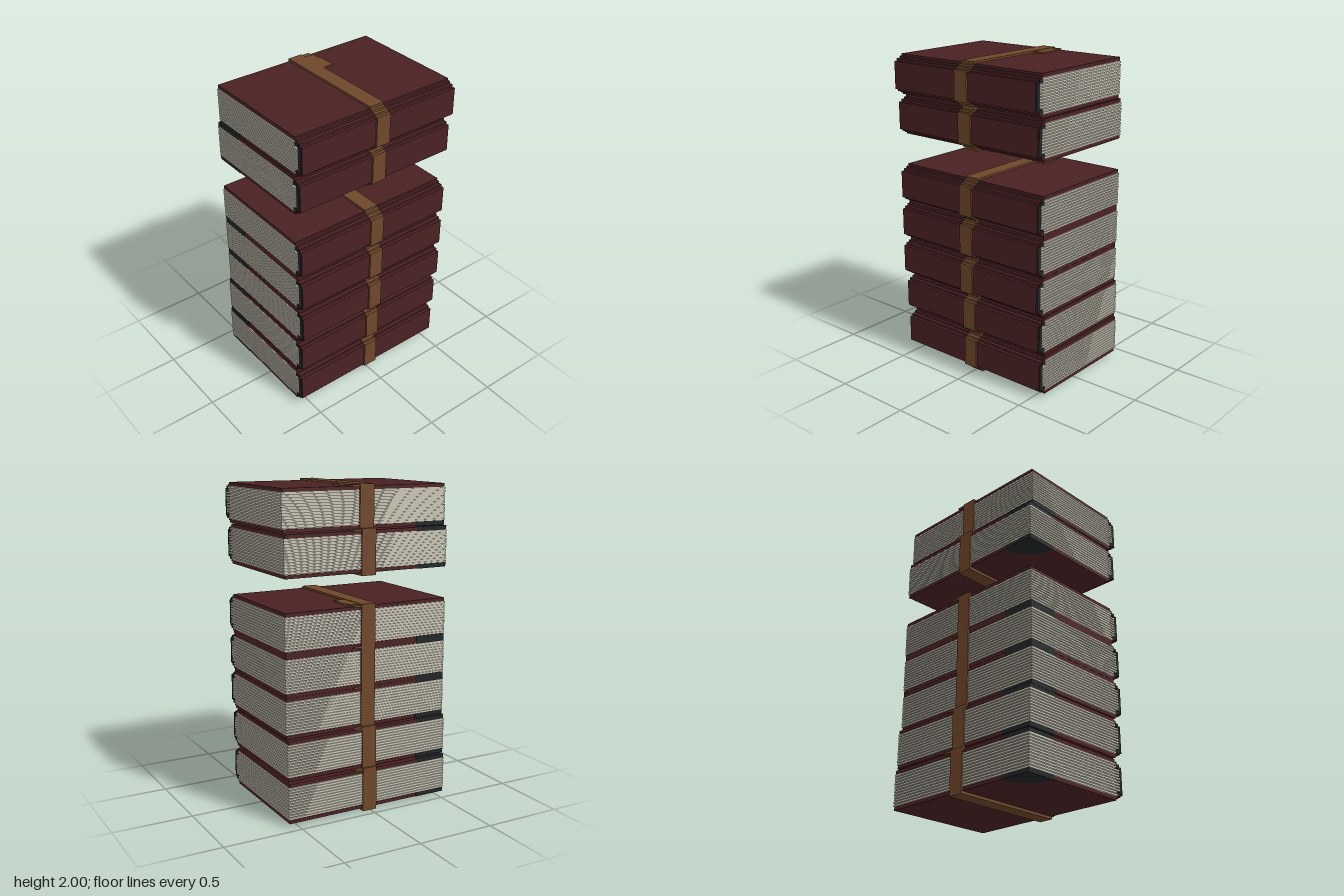
import * as THREE from 'three';

const material = (name, color) => {
  const m = new THREE.MeshStandardMaterial({ color });
  m.name = name;
  return m;
};

export function createModel() {
  const red = material('oxblood cover', 0x4a2123);
  const brown = material('brown leather', 0x6e472a);
  const cream = material('cream paper', 0xcac6b6);
  const black = material('black lining', 0x212526);

  const model = new THREE.Group();
  model.name = 'bookStack';

  // Box given by its limits on each axis
  const box = (parent, name, mat, x0, x1, y0, y1, z0, z1) => {
    const mesh = new THREE.Mesh(new THREE.BoxGeometry(x1 - x0, y1 - y0, z1 - z0), mat);
    mesh.position.set((x0 + x1) / 2, (y0 + y1) / 2, (z0 + z1) / 2);
    mesh.name = name;
    parent.add(mesh);
  };
  // The same box above and below the middle of the book
  const pair = (parent, name, mat, x0, x1, y0, y1, z0, z1) => {
    box(parent, name, mat, x0, x1, y0, y1, z0, z1);
    box(parent, name, mat, x0, x1, -y1, -y0, z0, z1);
  };

  // Quarter-round corner piece
  const quarter = new THREE.Shape();
  quarter.moveTo(0, 0);
  quarter.lineTo(0.205, 0);
  quarter.absarc(0, 0, 0.205, 0, Math.PI / 2, false);
  const cornerGeometry = new THREE.ExtrudeGeometry(quarter, { depth: 0.026, bevelEnabled: false, curveSegments: 5 });
  cornerGeometry.rotateX(-Math.PI / 2);

  const makeBook = (blackTop) => {
    const book = new THREE.Group();
    const Z = 0.55;

    // Boards, stepped hinges and spine
    pair(book, 'coverBoard', red, -0.405, 0.345, 0.103, 0.125, -Z, Z);
    pair(book, 'hinge', red, 0.33, 0.362, 0.09, 0.112, -Z, Z);
    pair(book, 'hinge', red, 0.345, 0.385, 0.075, 0.1, -Z, Z);
    box(book, 'spine', red, 0.37, 0.405, -0.086, 0.086, -Z, Z);

    // Black lining showing at the ends of the spine
    for (const s of [-1, 1]) {
      const a = s * (Z + 0.002) - 0.002, b = s * (Z + 0.002) + 0.002;
      box(book, 'spineLining', black, 0.372, 0.398, -0.08, 0.08, a, b);
      pair(book, 'hingeLining', black, 0.343, 0.378, 0.076, 0.096, a, b);
    }

    // Page block with slightly protruding sheets
    box(book, 'pageBlock', cream, -0.4, 0.34, -0.103, 0.103, -0.551, 0.551);
    const sheets = 12, pitch = 0.206 / sheets;
    for (let i = 0; i < sheets; i++) {
      const y = (i - (sheets - 1) / 2) * pitch;
      const right = Math.abs(y) > 0.075 ? 0.347 : 0.374;
      box(book, 'pages', cream, -0.407, right, y - 0.0055, y + 0.0055, -0.556, 0.556);
    }

    // Black corners on the boards
    for (const y of blackTop ? [-0.127, 0.101] : [-0.127]) {
      const corner = new THREE.Mesh(cornerGeometry, black);
      corner.position.set(-0.407, y, 0.552);
      corner.name = 'cornerPiece';
      book.add(corner);
    }

    // Strap running round the book and over the hinges
    const strap = new THREE.Group();
    strap.name = 'strap';
    const a = -0.052, b = 0.044;
    box(strap, 'strapTop', brown, -0.415, 0.352, 0.12, 0.137, a, b);
    box(strap, 'strapBottom', brown, -0.415, 0.352, -0.142, -0.12, a, b);
    box(strap, 'strapSide', brown, -0.416, -0.4, -0.142, 0.137, a, b);
    pair(strap, 'strapHinge', brown, 0.34, 0.372, 0.095, 0.122, a, b);
    pair(strap, 'strapHinge', brown, 0.36, 0.395, 0.08, 0.108, a, b);
    box(strap, 'strapSpine', brown, 0.39, 0.415, -0.094, 0.094, a, b);

    // Loose strap end lying beside the band
    box(strap, 'strapEnd', brown, -0.325, -0.2, 0.12, 0.134, -0.125, a);
    box(strap, 'strapEnd', brown, -0.375, -0.325, 0.12, 0.134, -0.112, a);
    box(strap, 'strapEnd', brown, -0.414, -0.38, 0.12, 0.132, -0.103, a);
    book.add(strap);
    return book;
  };

  // Sideways shift and centre height of each book
  const stack = [
    [-0.03, 0.142], [-0.02, 0.404], [0, 0.659], [0, 0.91],
    [0, 1.16], [0, 1.607], [0.025, 1.863],
  ];
  stack.forEach(([x, y], i) => {
    const book = makeBook(i !== 4 && i !== 6);
    book.name = 'book' + (i + 1);
    book.position.set(x, y, 0);
    model.add(book);
  });
  return model;
}
